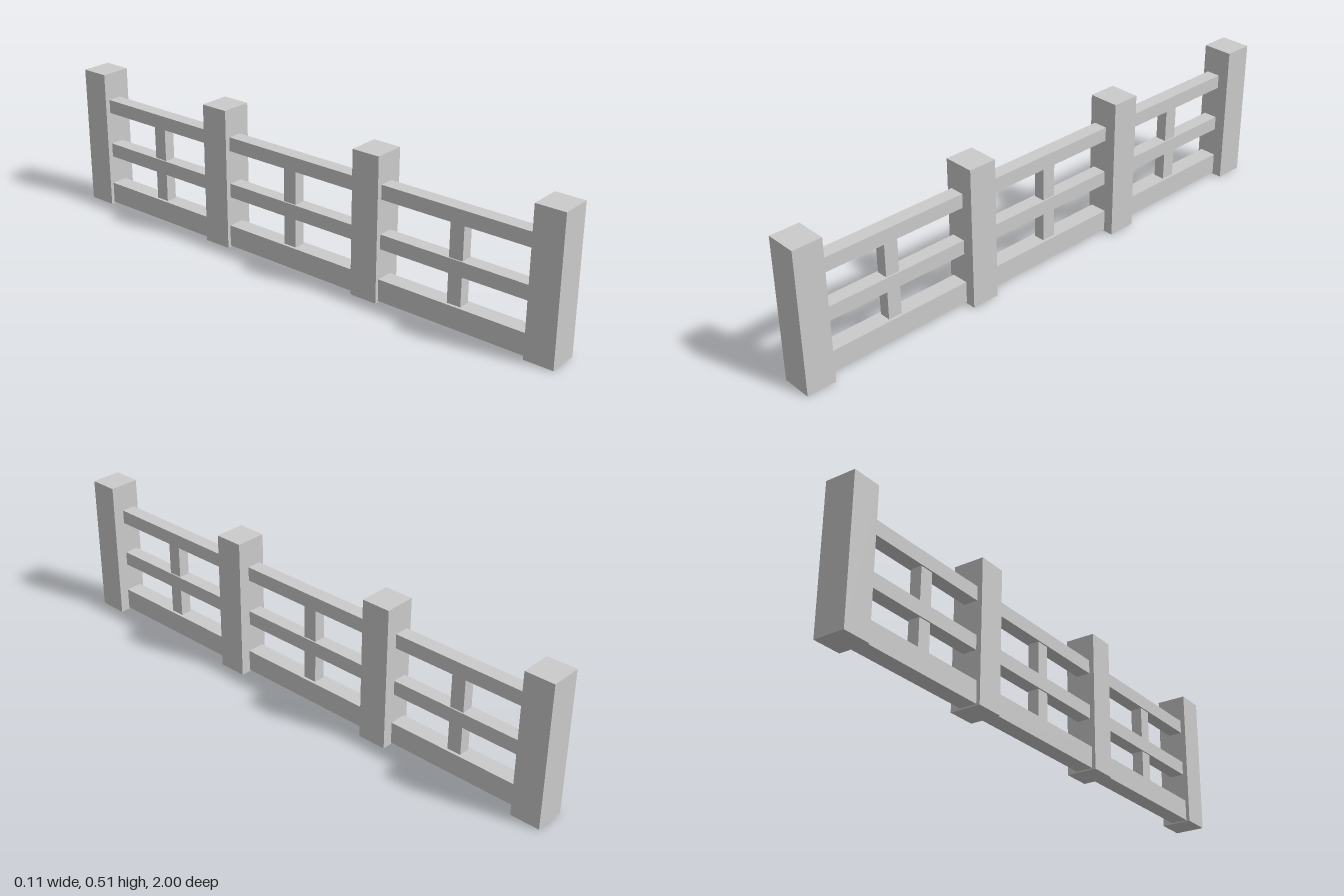
import * as THREE from 'three';

const material = new THREE.MeshStandardMaterial({ color: 0xcccccc, flatShading: true });

// Box given by its minimum and maximum along each axis
function addBox(parent, name, [x0, x1], [y0, y1], [z0, z1]) {
  const mesh = new THREE.Mesh(new THREE.BoxGeometry(x1 - x0, y1 - y0, z1 - z0), material);
  mesh.position.set((x0 + x1) / 2, (y0 + y1) / 2, (z0 + z1) / 2);
  mesh.name = name;
  parent.add(mesh);
}

export function createModel() {
  const fence = new THREE.Group();
  fence.name = 'fence';

  // Square posts, front to back
  const posts = [[0.897, 1], [0.245, 0.347], [-0.401, -0.298], [-1, -0.897]];
  posts.forEach((z, i) => addBox(fence, `post${i + 1}`, [-0.055, 0.055], [0, 0.507], z));

  // Rails between each pair of posts, set towards the -x side; the bottom one is thicker
  const rails = [
    ['bottomRail', [-0.042, 0.019], [0.005, 0.082]],
    ['middleRail', [-0.037, 0.014], [0.187, 0.238]],
    ['topRail', [-0.037, 0.014], [0.358, 0.408]],
  ];
  const balusterZ = [0.629, -0.033, -0.643];
  for (let i = 0; i < 3; i++) {
    const panel = new THREE.Group();
    panel.name = `panel${i + 1}`;
    const span = [posts[i + 1][1] - 0.01, posts[i][0] + 0.01];
    for (const [name, x, y] of rails) addBox(panel, name, x, y, span);

    // Short uprights filling the gaps between rails
    const z = [balusterZ[i] - 0.025, balusterZ[i] + 0.025];
    addBox(panel, 'lowerBaluster', [-0.032, 0.009], [0.082, 0.187], z);
    addBox(panel, 'upperBaluster', [-0.032, 0.009], [0.238, 0.358], z);
    fence.add(panel);
  }
  return fence;
}
